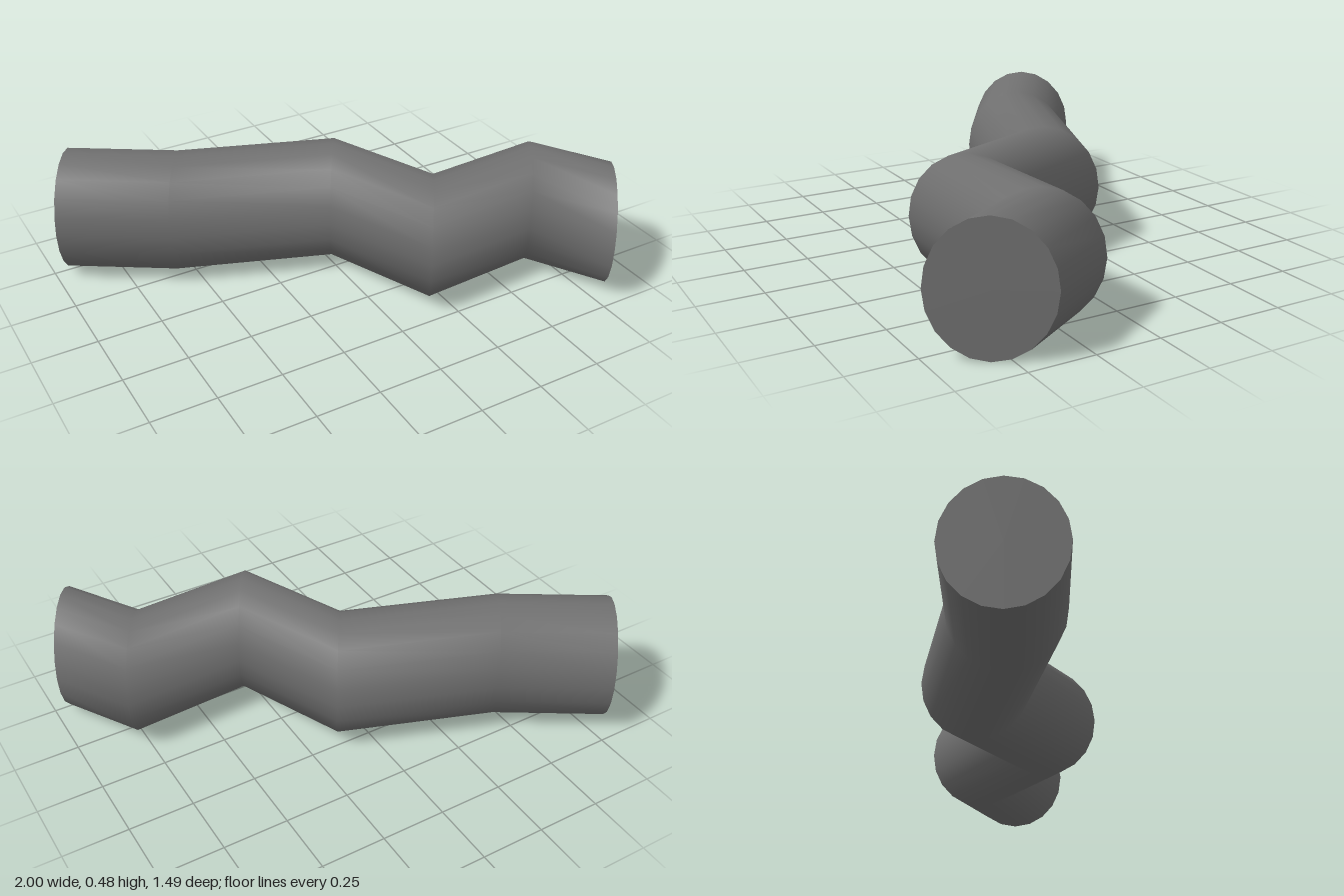
import * as THREE from 'three';
import { mergeVertices } from 'three/addons/utils/BufferGeometryUtils.js';

// Centre line of the bent pipe: [x, z] of each ring
const CENTRES = [
  [-0.885, -0.567], [-0.52, -0.335], [0.058, -0.123],
  [0.24, 0.309], [0.712, 0.28], [0.883, 0.565],
];
const HALF = { x: 0.116, z: -0.18 }; // half width of every ring, all parallel
const RADIUS_Y = 0.241;
const SIDES = 20;

export function createModel() {
  const group = new THREE.Group();
  const spans = CENTRES.length - 1;

  // Capped tube with one ring per bend; the merge closes the seam and keeps the cap rims sharp
  let geometry = new THREE.CylinderGeometry(1, 1, spans, SIDES, spans);
  geometry.deleteAttribute('uv');
  geometry = mergeVertices(geometry);

  // Move each ring onto the centre line, as an upright ellipse
  const pos = geometry.attributes.position;
  for (let i = 0; i < pos.count; i++) {
    const [cx, cz] = CENTRES[Math.round(spans / 2 - pos.getY(i))];
    const across = pos.getX(i);
    const up = pos.getZ(i);
    pos.setXYZ(i, cx + across * HALF.x, RADIUS_Y * (1 + up), cz + across * HALF.z);
  }
  geometry.computeVertexNormals();

  const pipe = new THREE.Mesh(geometry, new THREE.MeshStandardMaterial({ color: 0x707070 }));
  pipe.name = 'bentPipe';
  group.add(pipe);
  return group;
}
